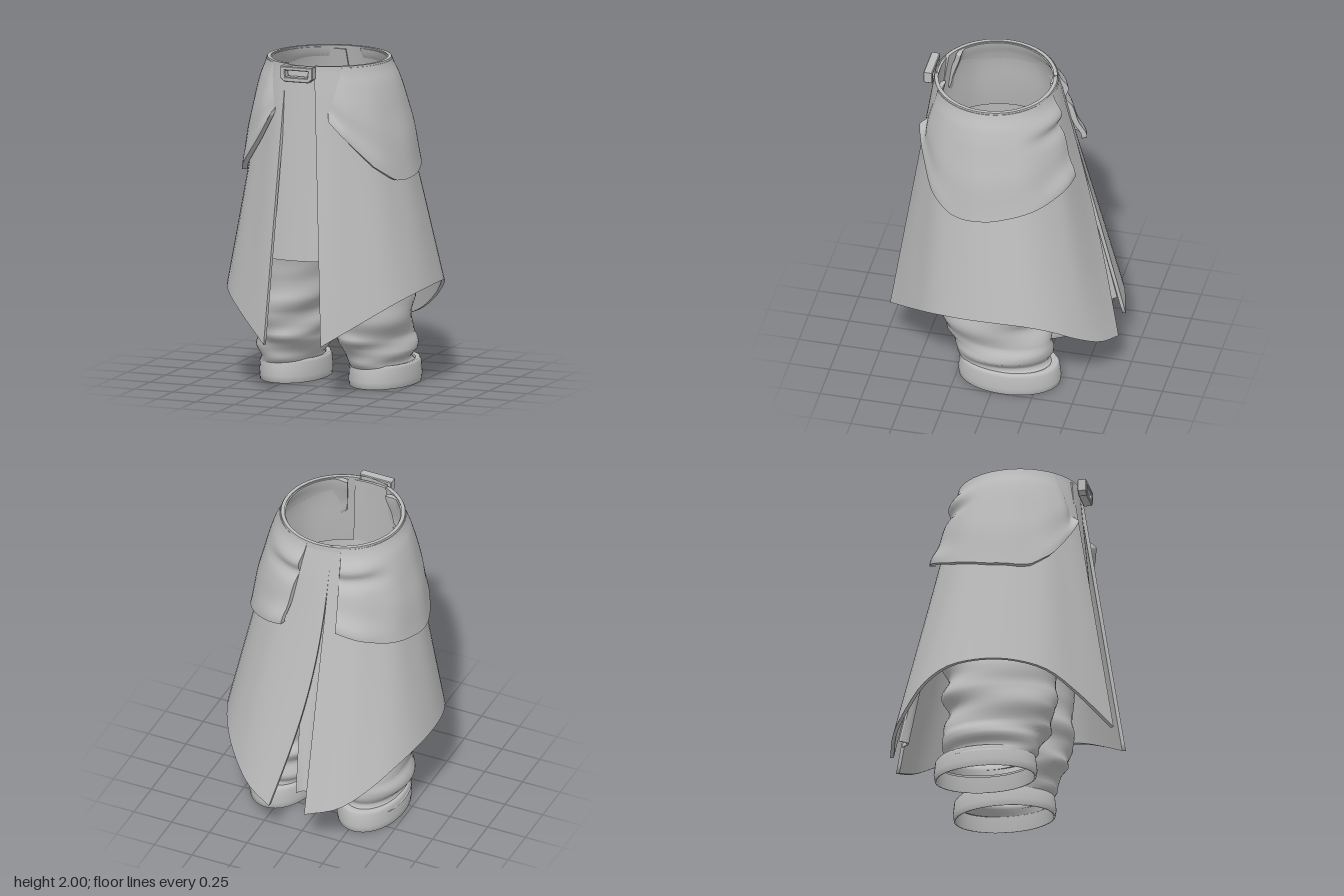
import * as THREE from 'three';
import { mergeGeometries, mergeVertices } from 'three/addons/utils/BufferGeometryUtils.js';

const cloth = new THREE.MeshStandardMaterial({ color: 0xbcbcbc, side: THREE.DoubleSide });
cloth.name = 'grey cloth';

const lerp = THREE.MathUtils.lerp;
const smooth = THREE.MathUtils.smoothstep;
const bell = (x, c, w) => Math.exp(-(((x - c) / w) ** 2));

// Linear lookup in rows of [key, value, value...], keys ascending
function lookup(rows, k, col = 1) {
  if (k <= rows[0][0]) return rows[0][col];
  for (let i = 1; i < rows.length; i++) {
    const a = rows[i - 1], b = rows[i];
    if (k <= b[0]) return lerp(a[col], b[col], (k - a[0]) / (b[0] - a[0]));
  }
  return rows[rows.length - 1][col];
}

// Grid surface from f(u, v) -> Vector3; skip(a, b, c) drops triangles
function surface(nu, nv, f, flip = false, skip = () => false) {
  const pts = [], idx = [];
  for (let j = 0; j <= nv; j++) for (let i = 0; i <= nu; i++) pts.push(f(i / nu, j / nv));
  const tri = (a, b, c) => {
    if (!skip(pts[a], pts[b], pts[c])) idx.push(...(flip ? [a, c, b] : [a, b, c]));
  };
  for (let j = 0; j < nv; j++) for (let i = 0; i < nu; i++) {
    const a = j * (nu + 1) + i, c = a + nu + 1;
    tri(a, c, a + 1);
    tri(a + 1, c, c + 1);
  }
  let g = new THREE.BufferGeometry().setFromPoints(pts);
  g.setIndex(idx);
  g = mergeVertices(g, 1e-5);
  g.computeVertexNormals();
  return g;
}

// Cloth sheet with thickness t toward the body axis and a crisp rim
function shell(f, t, flip) {
  const n = 32;
  const inner = (u, v) => {
    const p = f(u, v), d = new THREE.Vector3(-p.x, 0, 0.05 - p.z).normalize();
    return p.addScaledVector(d, t);
  };
  const border = (k) => {
    const e = Math.min(3, Math.floor(k * 4 + 1e-9)), s = k * 4 - e;
    return [[s, 0], [1, s], [1 - s, 1], [0, 1 - s]][e];
  };
  const rim = (k, w) => (w < 0.5 ? f : inner)(...border(k));
  return mergeGeometries([surface(n, n, f, flip), surface(n, n, inner, !flip), surface(4 * n, 1, rim, !flip)]);
}

function add(group, name, geometry) {
  const m = new THREE.Mesh(geometry, cloth);
  m.name = name;
  group.add(m);
  return m;
}

// Coat panel: u runs front to back, v from waist to hem
function panelSurface(s, frontX, backX, hemFront, hemBack) {
  const hem = new THREE.CatmullRomCurve3([
    hemFront, [0.4, 0.47, 0.52], [0.55, 0.57, 0.36], [0.63, 0.62, 0.14], [0.64, 0.63, -0.08],
    [0.61, 0.61, -0.25], [0.54, 0.545, -0.4], [0.45, 0.455, -0.51], [0.3, 0.345, -0.63], hemBack,
  ].map((p) => new THREE.Vector3(...p)));
  const a0 = Math.asin(frontX / 0.375), a1 = Math.PI - Math.asin(backX / 0.375);
  const point = (u, v, out = 0) => {
    const th = lerp(a0, a1, u), h = hem.getPointAt(u);
    const p = new THREE.Vector3(0.375 * Math.sin(th), 2, 0.09 + 0.37 * Math.cos(th)).lerp(h, v);
    const d = new THREE.Vector3(p.x, 0, p.z - 0.05).normalize();
    const ripple = 0.012 * Math.sin(u * 32) * v * (1 - v);
    p.addScaledVector(d, out + ripple + 0.02 * bell(v, 0.12, 0.12) * smooth(v, 0, 0.08) * Math.sin(Math.PI * u));
    // the overlapping back edge stays closed until the vent
    if (backX < 0) p.x -= 0.075 * Math.sin(Math.PI * v) * smooth(u, 0.82, 1);
    p.x *= s;
    return p;
  };
  return { point, hemY: (u) => hem.getPointAt(u).y };
}

// Lower edge height of the hip flap, front to back
const flapEdge = [[0.06, 1.68], [0.1, 1.61], [0.17, 1.5], [0.24, 1.39], [0.33, 1.3], [0.38, 1.29], [0.5, 1.31], [0.7, 1.38], [0.94, 1.49]];

// Hip flap draped over a panel: buried at its upper front, lifted at its lower edge
function flapSurface(panel, uEnd) {
  return (a, b) => {
    const u = lerp(0.06, uEnd, a);
    const y = lerp(1.99, lookup(flapEdge, u), b);
    const back = smooth(u, 0.6, 0.85), front = 1 - smooth(u, 0.2, 0.4);
    const fold = back * (0.024 * bell(y, 1.87, 0.05) - 0.024 * bell(y, 1.79, 0.04));
    const belly = 0.014 * bell(b, 0.65, 0.25) * Math.sin(Math.PI * u);
    const lip = (0.034 * back + 0.016 * front) * bell(b, 0.95, 0.14);
    const buried = 0.04 * (1 - smooth(a, 0, 0.1)) * (1 - smooth(b, 0.82, 1));
    const out = 0.004 + 0.026 * smooth(b, 0, 0.65) + lip + belly + fold - buried;
    return panel.point(u, (2 - y) / (2 - panel.hemY(u)), out);
  };
}

// Trouser half: y, inner x, outer x, back z, front z
const legRows = [
  [0.1, 0.11, 0.485, -0.35, 0.22], [0.15, 0.11, 0.45, -0.3, 0.26], [0.21, 0.06, 0.5, -0.33, 0.25],
  [0.25, 0.06, 0.49, -0.33, 0.27], [0.3, 0.08, 0.46, -0.32, 0.35], [0.38, 0.04, 0.475, -0.33, 0.35],
  [0.45, 0.05, 0.48, -0.29, 0.34], [0.53, 0.03, 0.49, -0.32, 0.37], [0.65, 0.03, 0.46, -0.32, 0.36],
  [0.82, 0.015, 0.45, -0.33, 0.38], [1.0, -0.1, 0.44, -0.34, 0.41], [1.3, -0.35, 0.42, -0.35, 0.46],
  [1.5, -0.4, 0.4, -0.35, 0.48],
];

function leg(s) {
  const f = (u, v) => {
    const th = u * Math.PI * 2, y = lerp(1.5, 0.1, Math.pow(v, 0.8));
    const [xi, xo, zb, zf] = [1, 2, 3, 4].map((c) => lookup(legRows, y, c));
    const amp = smooth(y, 0.13, 0.25) * (1 - smooth(y, 0.7, 1));
    // slanting bunched folds
    const k = 1 + amp * (0.035 * Math.sin(y * 28 + 2.4 * Math.sin(th + 0.6)) + 0.04 * Math.sin(y * 22 - 2 * th));
    const x = (xi + xo) / 2 + Math.cos(th) * k * (xo - xi) / 2;
    const z = (zb + zf) / 2 + Math.sin(th) * k * (zf - zb) / 2;
    return new THREE.Vector3(s * Math.max(0, x), y, z);
  };
  const wall = (a, b, c) => Math.abs(a.x) + Math.abs(b.x) + Math.abs(c.x) < 1e-6;
  return surface(40, 64, f, s > 0, wall);
}

export function createModel() {
  const model = new THREE.Group();
  model.name = 'coat skirt and trousers';

  // Two coat panels, each with a hip flap
  for (const [side, s, flapEnd, ...edges] of [
    ['left', 1, 0.87, 0.05, -0.09, [0.19, 0.33, 0.7], [0.13, 0.28, -0.7]],
    ['right', -1, 0.94, 0.14, 0.09, [0.18, 0.32, 0.7], [0.1, 0.28, -0.69]],
  ]) {
    const panel = panelSurface(s, ...edges);
    add(model, side + 'CoatPanel', shell((u, v) => panel.point(u, v), 0.022, s < 0));
    add(model, side + 'HipFlap', shell(flapSurface(panel, flapEnd), 0.034, s < 0));
  }

  // Front tabard between the panels
  add(model, 'frontTabard', shell((u, v) => {
    const x = lerp(lerp(-0.16, -0.205, v), lerp(0.08, 0.15, v), u);
    return new THREE.Vector3(x, lerp(1.98, 0.82, v), lerp(0.455, 0.565, v) - 0.9 * (x + 0.03) ** 2);
  }, 0.015, true));

  // Strip behind the back seam, ending as a pleat in the vent
  add(model, 'backPleat', shell((u, v) => {
    const x = lerp(lerp(-0.14, -0.11, v), lerp(-0.03, -0.02, v) + 0.035 * Math.sin(Math.PI * v), u);
    const z = lerp(-0.25, -0.635, v) + 0.04 * Math.sin(u * Math.PI) * v * v;
    return new THREE.Vector3(x, lerp(1.98, 0.38, v), z);
  }, 0.012, false));

  // Trouser legs with thin cuffs
  const cuffProfile = [[0.186, 0.1], [0.193, 0], [0.2, 0], [0.204, 0.04], [0.198, 0.12], [0.188, 0.14], [0.165, 0.135]]
    .map((p) => new THREE.Vector2(...p));
  for (const [side, s, x] of [['left', 1, 0.3], ['right', -1, -0.28]]) {
    add(model, side + 'TrouserLeg', leg(s));
    const cuff = new THREE.LatheGeometry(cuffProfile, 40);
    cuff.scale(1, 1, 1.55);
    add(model, side + 'Cuff', cuff).position.set(x, 0, -0.067);
  }

  // Waistband
  const band = new THREE.CylinderGeometry(0.375, 0.378, 0.03, 48, 1, true);
  add(model, 'waistband', band).position.set(0, 1.985, 0.088);

  // Buckle frame
  const frame = new THREE.Shape([[-0.1, 0.045], [-0.1, -0.02], [-0.075, -0.04], [0.075, -0.04], [0.1, -0.02], [0.1, 0.045]]
    .map((p) => new THREE.Vector2(...p)));
  frame.holes.push(new THREE.Path([[-0.08, 0.03], [0.08, 0.03], [0.075, -0.02], [-0.075, -0.02]]
    .map((p) => new THREE.Vector2(...p))));
  const buckle = new THREE.ExtrudeGeometry(frame, { depth: 0.045, bevelEnabled: true, bevelSize: 0.005, bevelThickness: 0.005, bevelSegments: 1 });
  add(model, 'buckle', buckle).position.set(-0.04, 1.95, 0.475);

  return model;
}
